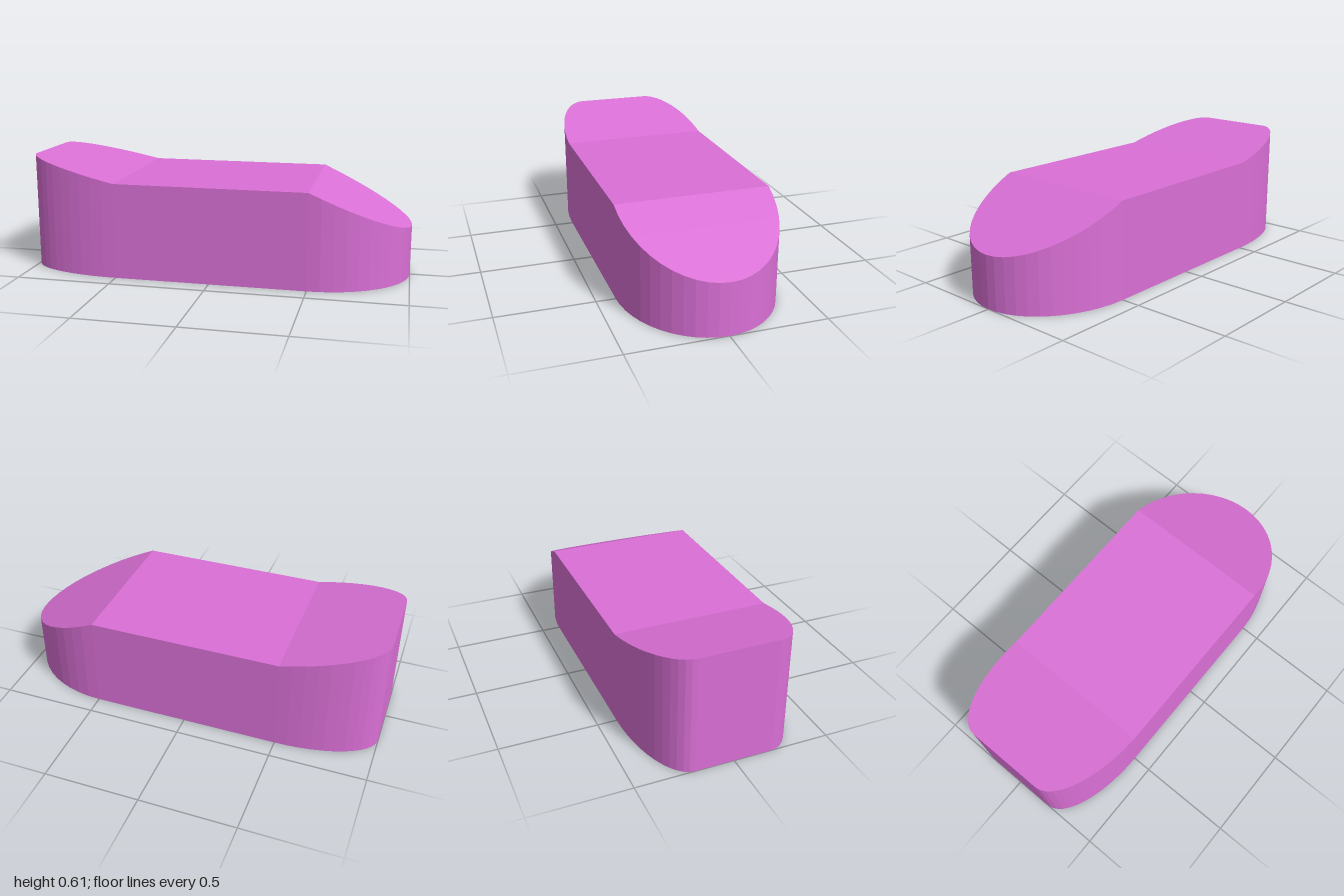
import * as THREE from 'three';

const STEPS = 12;

// Height of the top: rising to the blunt end, level in the middle, sloping down to the round end
function topHeight(x) {
  if (x < -0.5) return 0.5 + (-0.5 - x) * 0.22;
  if (x > 0.5) return 0.5 - (x - 0.5) * 0.455;
  return 0.5;
}

// Plan outline as [x, half width], from the blunt end to the round end
function outline() {
  const stations = [];
  for (let i = STEPS; i >= 0; i--) {
    const a = (i / STEPS) * Math.PI / 2;
    stations.push([-0.5 - 0.5 * Math.sin(a), 0.2 + 0.2 * Math.cos(a)]);
  }
  for (let i = 0; i <= STEPS; i++) {
    const a = (i / STEPS) * Math.PI / 2;
    stations.push([0.5 + 0.5 * Math.sin(a), i === STEPS ? 0 : 0.4 * Math.cos(a)]);
  }
  return stations;
}

// Solid joined through rectangular cross-sections
function bodyGeometry() {
  const rings = outline().map(([x, w]) => {
    const h = topHeight(x);
    return [[x, 0, w], [x, h, w], [x, h, -w], [x, 0, -w]];
  });
  const positions = [];
  const quad = (a, b, c, d) => positions.push(...a, ...b, ...c, ...a, ...c, ...d);

  quad(...rings[0]); // flat end wall
  for (let i = 0; i < rings.length - 1; i++) {
    const A = rings[i], B = rings[i + 1];
    for (let k = 0; k < 4; k++) {
      const n = (k + 1) % 4;
      quad(A[k], B[k], B[n], A[n]);
    }
  }

  const geometry = new THREE.BufferGeometry();
  geometry.setAttribute('position', new THREE.Float32BufferAttribute(positions, 3));
  geometry.computeVertexNormals();
  return geometry;
}

export function createModel() {
  const group = new THREE.Group();
  group.name = 'slopedBlock';
  const material = new THREE.MeshStandardMaterial({ color: 0xda70d6, flatShading: true });
  const body = new THREE.Mesh(bodyGeometry(), material);
  body.name = 'body';
  group.add(body);
  return group;
}
